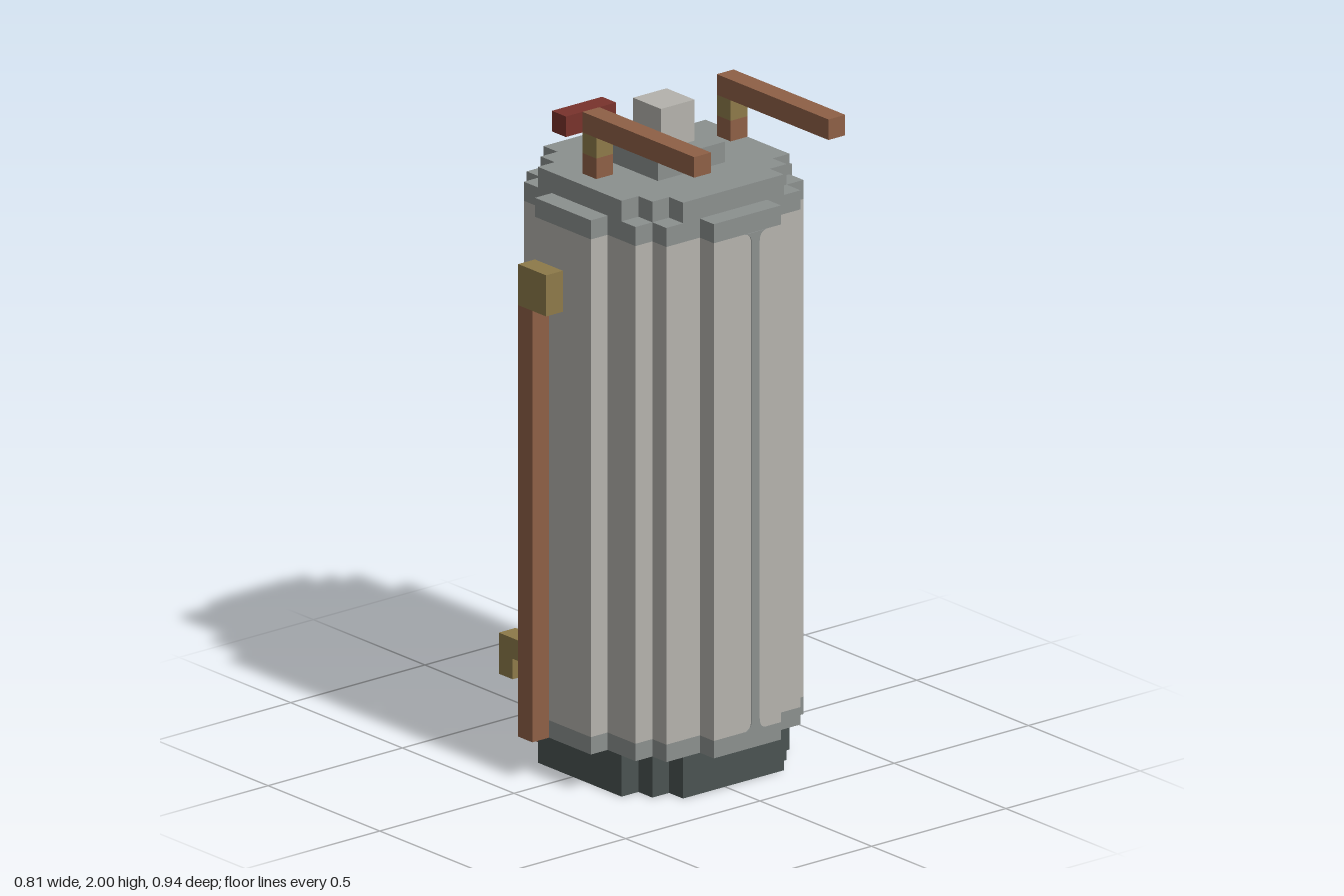
import * as THREE from 'three';

const V = 0.0625; // block unit
const C = V / 2; // tank axis in x and z

const material = (name, color) => {
  const m = new THREE.MeshStandardMaterial({ color });
  m.name = name;
  return m;
};

export function createModel() {
  const model = new THREE.Group();
  model.name = 'gasTank';
  const shell = material('paleShell', 0xb4b2ac);
  const steel = material('greySteel', 0x8b908e);
  const dark = material('darkIron', 0x4a5351);
  const copper = material('copperBrown', 0x8e6046);
  const brass = material('brass', 0x8d7a49);
  const red = material('valveRed', 0x78332c);

  const add = (name, geometry, mat) => {
    const mesh = new THREE.Mesh(geometry, mat);
    mesh.name = name;
    model.add(mesh);
    return mesh;
  };

  // Box given by its lower and upper limits
  const box = (name, mat, [x0, x1], [y0, y1], [z0, z1]) => {
    const mesh = add(name, new THREE.BoxGeometry(x1 - x0, y1 - y0, z1 - z0), mat);
    mesh.position.set((x0 + x1) / 2, (y0 + y1) / 2, (z0 + z1) / 2);
    return mesh;
  };

  // Stepped round slab: one quarter outline, turned four times
  const steppedDisc = (name, mat, quarter, y0, y1) => {
    const points = [];
    for (let k = 0; k < 4; k++) {
      for (const [a, b] of quarter) {
        let x = a, y = b;
        for (let i = 0; i < k; i++) [x, y] = [-y, x];
        points.push(new THREE.Vector2(x * V, y * V));
      }
    }
    const geometry = new THREE.ExtrudeGeometry(new THREE.Shape(points), { depth: y1 - y0, bevelEnabled: false });
    geometry.rotateX(-Math.PI / 2);
    add(name, geometry, mat).position.set(C, y0, C);
  };
  const wide = [[6, -2], [6, 2], [5, 2], [5, 4], [4, 4], [4, 5], [2, 5]];
  const narrow = [[5, -3], [5, 3], [4, 3], [4, 4], [3, 4]];

  // Tank body
  steppedDisc('base', dark, narrow, 0, 0.125);
  steppedDisc('lowerBand', steel, wide, 0.125, 0.178);
  steppedDisc('tankShell', shell, wide, 0.178, 1.692);
  steppedDisc('upperBand', steel, wide, 1.692, 1.75);
  steppedDisc('shoulder', steel, narrow, 1.75, 1.8125);
  box('cap', steel, [-0.094, 0.156], [1.8125, 1.875], [-0.094, 0.156]);
  box('capKnob', shell, [-0.031, 0.094], [1.875, 2], [-0.031, 0.094]);

  // Front seam flaring into the bands
  const seam = new THREE.Shape();
  seam.moveTo(0.02, 0.178);
  seam.lineTo(0.1, 0.178);
  seam.quadraticCurveTo(0.075, 0.18, 0.075, 0.21);
  seam.lineTo(0.075, 1.66);
  seam.quadraticCurveTo(0.075, 1.69, 0.1, 1.692);
  seam.lineTo(0.02, 1.692);
  seam.quadraticCurveTo(0.045, 1.69, 0.045, 1.66);
  seam.lineTo(0.045, 0.21);
  seam.quadraticCurveTo(0.045, 0.18, 0.02, 0.178);
  add('frontSeam', new THREE.ExtrudeGeometry(seam, { depth: 0.003, bevelEnabled: false }), steel)
    .position.z = 0.406;
  box('backMark', steel, [-0.094, -0.015], [1.09, 1.165], [-0.347, -0.342]);

  // Shoulder straps reaching forward
  for (const x of [-0.219, 0.281]) {
    const span = [x, x + V];
    box('strapFoot', copper, span, [1.8125, 1.875], [-0.031, 0.031]);
    box('strapJoint', brass, span, [1.875, 1.9375], [-0.031, 0.031]);
    box('strapBar', copper, span, [1.9375, 2], [-0.031, 0.469]);
  }
  box('topValveHandle', red, [-0.281, -0.094], [1.9375, 2], [-0.094, -0.031]);

  // Side pipe with brass elbow
  box('sidePipe', copper, [-0.406, -0.344], [0.125, 1.4375], [-0.094, -0.031]);
  box('sidePipeElbow', brass, [-0.406, -0.344], [1.4375, 1.5625], [-0.094, 0.031]);

  // Rear valve assembly
  box('valvePlate', dark, [-0.094, 0.157], [0.125, 0.3125], [-0.347, -0.281]);
  box('valveStem', steel, [0.031, 0.094], [0.3125, 0.4375], [-0.406, -0.344]);
  box('valveHead', dark, [-0.031, 0.156], [0.4375, 0.5625], [-0.406, -0.344]);
  box('valveNozzle', steel, [-0.031, 0.031], [0.4375, 0.5], [-0.469, -0.406]);
  box('valveButton', red, [0.094, 0.156], [0.5, 0.5625], [-0.469, -0.406]);

  // Rear brass tap and its copper feed
  box('tapArm', brass, [-0.219, -0.156], [0.25, 0.3125], [-0.344, -0.281]);
  box('tapSpout', brass, [-0.219, -0.156], [0.1875, 0.3125], [-0.406, -0.344]);
  box('feedRiser', copper, [-0.219, -0.156], [0.0625, 0.25], [-0.31, -0.279]);
  box('feedRun', copper, [-0.219, -0.094], [0.0625, 0.125], [-0.284, -0.219]);
  box('feedCorner', copper, [-0.281, -0.219], [0.0625, 0.125], [-0.221, -0.156]);

  return model;
}
